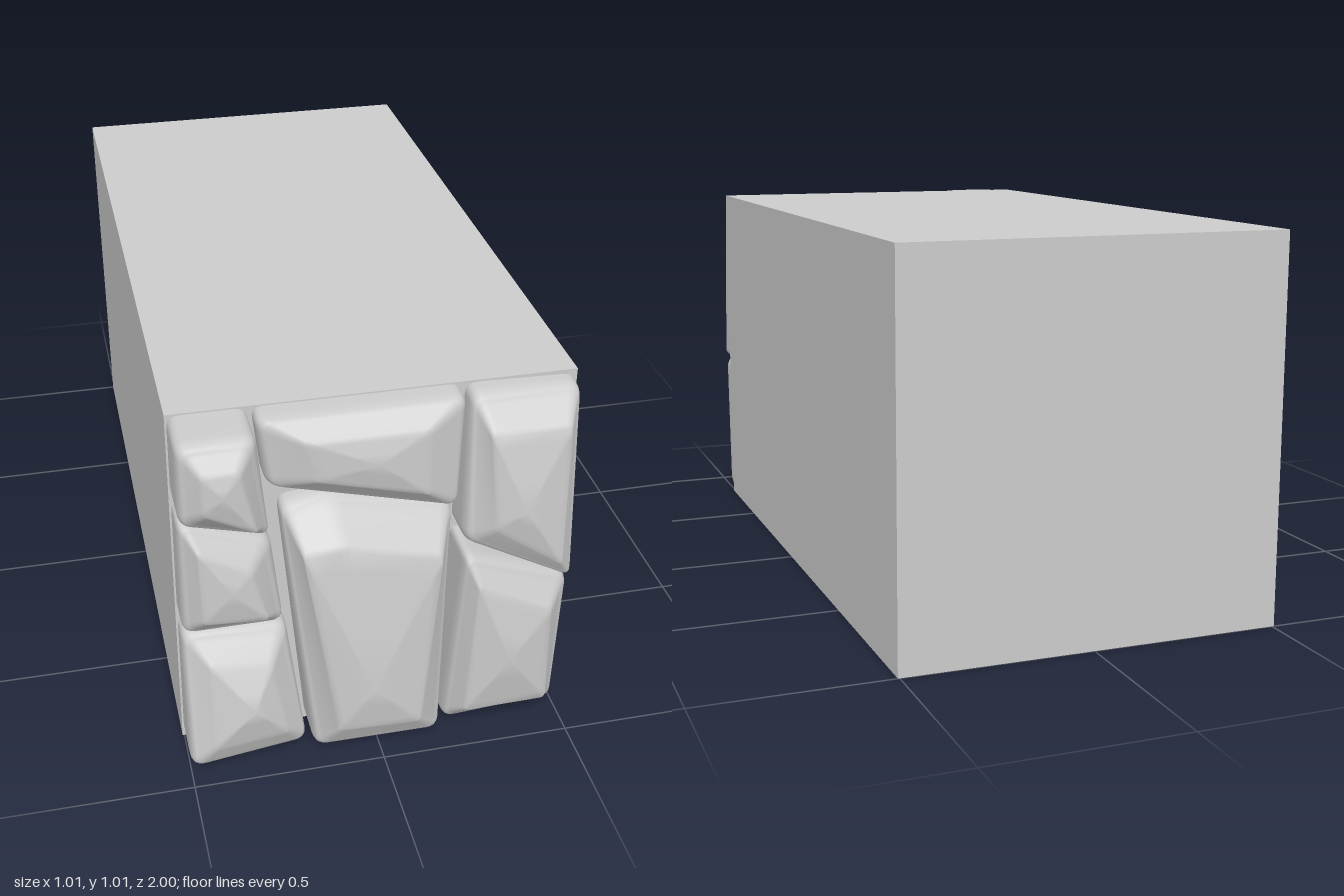
import * as THREE from 'three';

const stoneGrey = new THREE.MeshStandardMaterial({ color: 0xcccccc });
const BACK = 0.8; // stones start just inside the block's front face

// Replace every corner by a small curve, so all loops keep matching counts
function roundLoop(points, radius, steps = 4) {
  const n = points.length;
  return points.flatMap((p, i) => {
    const towards = (q) => p.clone().lerp(q, Math.min(0.45, radius / p.distanceTo(q)));
    return new THREE.QuadraticBezierCurve3(
      towards(points[(i + n - 1) % n]), p, towards(points[(i + 1) % n])).getPoints(steps);
  });
}

// Crown corner: the rim corner moved a set distance towards the peak, and raised
function crownCorner(corner, peak, inset, rise) {
  const dir = peak.clone().sub(corner).setZ(0).normalize();
  const point = corner.clone().addScaledVector(dir, inset);
  return point.setZ(THREE.MathUtils.lerp(corner.z, peak.z, rise));
}

// Stone: straight wall, rounded rim, sloping facets up to a crown, and a peak.
// Corners run counter-clockwise as seen from the front.
function makeStone({ name, rim, peak, inset, rise = 0.7 }) {
  const corners = rim.map((c) => new THREE.Vector3(...c));
  const top = new THREE.Vector3(...peak);
  const outer = roundLoop(corners, 0.03);
  const inner = roundLoop(corners.map((c) => crownCorner(c, top, inset, rise)), 0.015);
  const count = outer.length;
  const rings = [outer.map((p) => new THREE.Vector3(p.x, p.y, BACK))];

  // quarter-round bevel
  for (let k = 0; k <= 4; k++) {
    const a = (k / 4) * Math.PI * 0.5;
    rings.push(outer.map((p, i) => {
      const dir = inner[i].clone().sub(p).setZ(0).normalize();
      const q = p.clone().addScaledVector(dir, 0.022 * (1 - Math.cos(a)));
      return q.setZ(p.z - 0.04 * (1 - Math.sin(a)));
    }));
  }
  // facets between the rim and the crown
  const edge = rings[rings.length - 1];
  for (const t of [0.15, 0.5, 0.85, 1]) {
    rings.push(edge.map((p, i) => p.clone().lerp(inner[i], t)));
  }
  // crown closing in on the peak
  for (const t of [0.15, 0.6]) {
    rings.push(inner.map((p) => p.clone().lerp(top, t)));
  }

  const positions = [...rings.flat(), top].flatMap((p) => p.toArray());
  const index = [];
  for (let r = 0; r < rings.length - 1; r++) {
    for (let i = 0; i < count; i++) {
      const a = r * count + i, b = r * count + ((i + 1) % count);
      index.push(a, b, b + count, a, b + count, a + count);
    }
  }
  const last = (rings.length - 1) * count;
  for (let i = 0; i < count; i++) {
    index.push(last + i, last + ((i + 1) % count), rings.length * count);
  }
  const geometry = new THREE.BufferGeometry();
  geometry.setAttribute('position', new THREE.Float32BufferAttribute(positions, 3));
  geometry.setIndex(index);
  geometry.computeVertexNormals();
  const mesh = new THREE.Mesh(geometry, stoneGrey);
  mesh.name = name;
  return mesh;
}

export function createModel() {
  const group = new THREE.Group();
  group.name = 'stoneFacedBlock';

  // plain block behind the stones
  const block = new THREE.Mesh(new THREE.BoxGeometry(1.01, 1.012, 1.81), stoneGrey);
  block.name = 'block';
  block.position.set(0, 0.506, -0.095);
  group.add(block);

  // stone facing on the front
  const facing = new THREE.Group();
  facing.name = 'stoneFacing';
  group.add(facing);

  // column on the model's right
  facing.add(makeStone({
    name: 'upperOuterStone', inset: 0.08, peak: [-0.4, 0.89, 1],
    rim: [[-0.5, 1.008, 0.95], [-0.5, 0.782, 0.95], [-0.276, 0.695, 0.91], [-0.312, 1.008, 0.95]],
  }));
  facing.add(makeStone({
    name: 'middleOuterStone', inset: 0.08, peak: [-0.38, 0.58, 0.965],
    rim: [[-0.5, 0.77, 0.91], [-0.5, 0.426, 0.91], [-0.24, 0.41, 0.89], [-0.272, 0.677, 0.9]],
  }));
  facing.add(makeStone({
    name: 'lowerOuterStone', inset: 0.1, rise: 0.5, peak: [-0.335, 0.21, 0.985],
    rim: [[-0.5, 0.41, 0.88], [-0.5, 0.01, 0.95], [-0.184, 0.01, 0.91], [-0.233, 0.395, 0.88]],
  }));

  // middle column
  facing.add(makeStone({
    name: 'upperMiddleStone', inset: 0.12, peak: [-0.02, 0.89, 0.94],
    rim: [[-0.302, 1.008, 0.88], [-0.28, 0.82, 0.88], [0.2, 0.698, 0.89], [0.21, 1.008, 0.88]],
  }));
  facing.add(makeStone({
    name: 'centreStone', inset: 0.11, rise: 0.65, peak: [-0.03, 0.24, 1],
    rim: [[-0.245, 0.75, 0.86], [-0.172, 0.008, 0.94], [0.168, 0.008, 0.94],
      [0.195, 0.688, 0.86], [-0.12, 0.765, 0.86]],
  }));

  // column on the model's left
  facing.add(makeStone({
    name: 'upperInnerStone', inset: 0.09, rise: 0.6, peak: [0.345, 0.72, 0.975],
    rim: [[0.222, 1.008, 0.87], [0.206, 0.61, 0.92], [0.5, 0.455, 0.93], [0.498, 1.0, 0.87]],
  }));
  facing.add(makeStone({
    name: 'lowerInnerStone', inset: 0.09, rise: 0.6, peak: [0.325, 0.27, 1],
    rim: [[0.206, 0.592, 0.95], [0.184, 0.008, 0.91], [0.5, 0.008, 0.89], [0.5, 0.45, 0.91]],
  }));
  return group;
}
